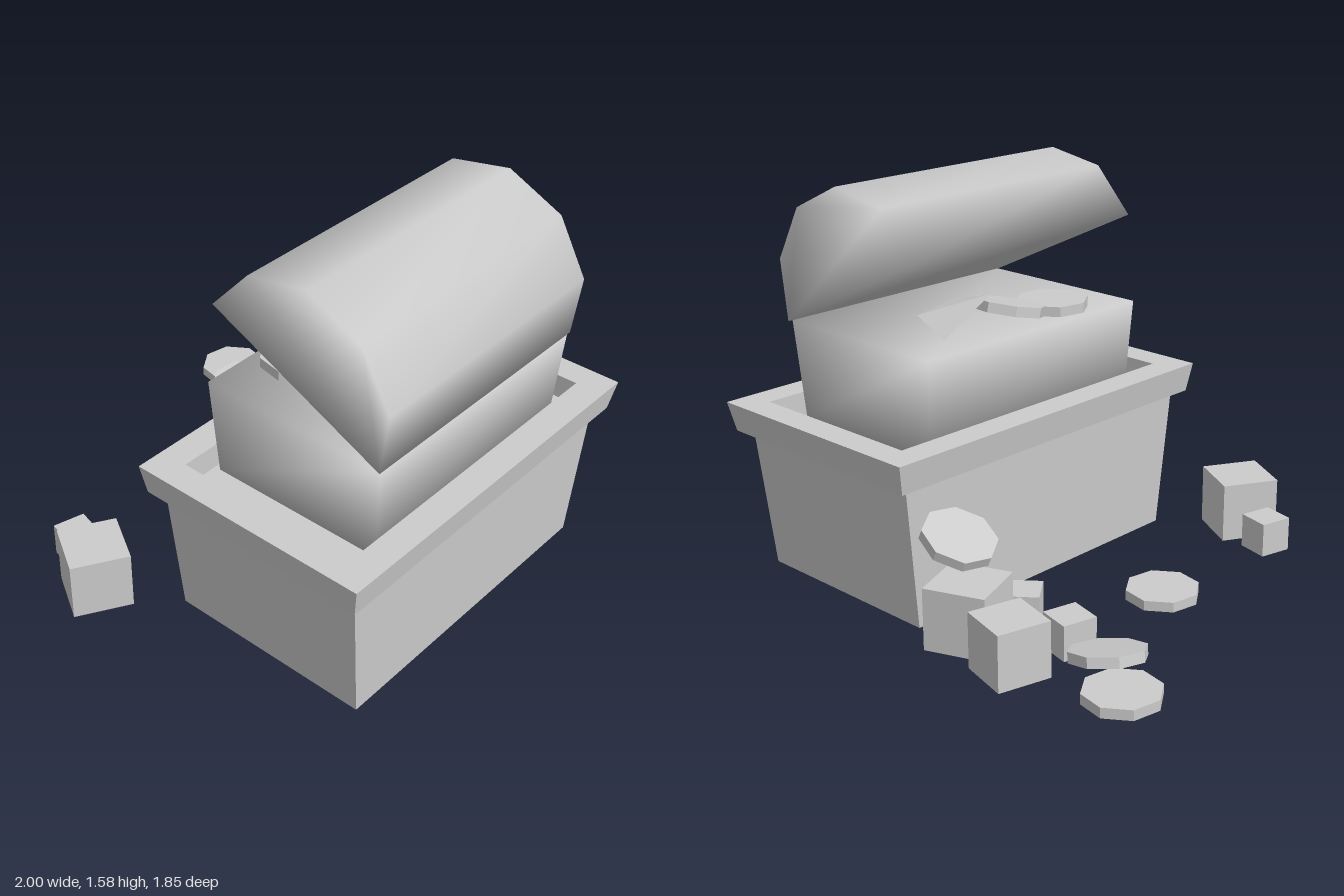
import * as THREE from 'three';
import { mergeVertices } from 'three/addons/utils/BufferGeometryUtils.js';
import { ConvexGeometry } from 'three/addons/geometries/ConvexGeometry.js';

const flat = new THREE.MeshStandardMaterial({ color: 0xcccccc, flatShading: true, side: THREE.DoubleSide });
const smooth = new THREE.MeshStandardMaterial({ color: 0xcccccc });

// Joins rectangles [x0, x1, z0, z1, y] into a skin, optionally capped at both ends
function loft(sections, capped) {
  const pos = [], index = [];
  for (const [x0, x1, z0, z1, y] of sections) pos.push(x0, y, z0, x0, y, z1, x1, y, z1, x1, y, z0);
  for (let s = 0; s < sections.length - 1; s++) {
    for (let i = 0; i < 4; i++) {
      const a = s * 4 + i, b = s * 4 + (i + 1) % 4;
      index.push(a, b, b + 4, a, b + 4, a + 4);
    }
  }
  if (capped) {
    const t = (sections.length - 1) * 4;
    index.push(0, 2, 1, 0, 3, 2, t, t + 1, t + 2, t, t + 2, t + 3);
  }
  const g = new THREE.BufferGeometry();
  g.setAttribute('position', new THREE.Float32BufferAttribute(pos, 3));
  g.setIndex(index);
  g.computeVertexNormals();
  return g;
}

// Lid: faceted arc profile extruded along z, with normals blended over all edges
function lidGeometry() {
  const profile = [[0.89, 1.0], [0.92, 1.245], [0.795, 1.465], [0.56, 1.575], [0.305, 1.53], [0.14, 1.35]];
  const shape = new THREE.Shape(profile.map(([x, y]) => new THREE.Vector2(x, y)));
  const g = new THREE.ExtrudeGeometry(shape, { depth: 1.15, bevelEnabled: false });
  g.translate(0, 0, -0.69);
  g.deleteAttribute('uv');
  g.deleteAttribute('normal');
  const merged = mergeVertices(g);
  merged.computeVertexNormals();
  return merged;
}

export function createModel() {
  const group = new THREE.Group();
  const add = (name, geometry, material = flat) => {
    const mesh = new THREE.Mesh(geometry, material);
    mesh.name = name;
    group.add(mesh);
    return mesh;
  };

  // Tapered tub, open underneath
  add('tubWall', loft([[0.06, 0.92, -0.79, 0.57, 0], [0.04, 0.94, -0.85, 0.63, 0.58]]));

  // Hollow flared rim
  const hole = [0.1, 0.88, -0.81, 0.58];
  add('tubRim', loft([
    [...hole, 0.58], [0, 0.98, -0.9, 0.68, 0.58], [-0.02, 1, -0.925, 0.7, 0.7],
    [...hole, 0.7], [...hole, 0.58],
  ]));

  // Floor inside the rim
  const floor = add('tubFloor', new THREE.PlaneGeometry(0.78, 1.39));
  floor.rotation.x = -Math.PI / 2;
  floor.position.set(0.49, 0.6, -0.115);

  // Chest body and raised lid
  add('chestBody', loft([[0.125, 0.865, -0.645, 0.425, 0.6], [0.1, 0.89, -0.67, 0.45, 1.0]], true), smooth);
  add('chestLid', lidGeometry(), smooth);

  // Octagonal coins: x, y, z, then tilt about x and z
  const coinGeometry = new THREE.CylinderGeometry(0.146, 0.146, 0.04, 8).rotateY(0.2);
  const coins = [
    [-0.86, 0.045, -0.7, 0, 0], [-0.68, 0.08, -0.57, 0.15, -0.2],
    [-0.46, 0.045, -0.01, 0, 0], [-0.075, 0.375, -0.705, 0, 0.44],
    [0.26, 1.025, 0.14, 0, 0], [0.245, 1.065, -0.12, 0.22, 0],
  ];
  for (const [x, y, z, rx, rz] of coins) {
    const coin = add('coin', coinGeometry);
    coin.position.set(x, y, z);
    coin.rotation.set(rx, 0, rz);
  }

  // Loose blocks: x, z, side, height, turn in degrees
  const blocks = [
    [-0.425, -0.8, 0.212, 0.22, -15], [-0.15, -0.735, 0.245, 0.245, 21],
    [-0.46, -0.53, 0.14, 0.14, -14], [-0.19, -0.497, 0.14, 0.14, -52],
    [-0.24, 0.76, 0.238, 0.245, -30], [-0.45, 0.665, 0.135, 0.14, -14],
  ];
  for (const [x, z, side, height, turn] of blocks) {
    const block = add('block', new THREE.BoxGeometry(side, height, side));
    block.position.set(x, height / 2, z);
    block.rotation.y = THREE.MathUtils.degToRad(turn);
  }

  // Four-cornered gem lying on the chest
  const corners = [[0.345, 1.09, -0.5], [0.125, 1.18, -0.33], [0.125, 1.05, -0.57], [0.335, 1.12, -0.33]];
  add('gem', new ConvexGeometry(corners.map((c) => new THREE.Vector3(...c))));

  return group;
}
